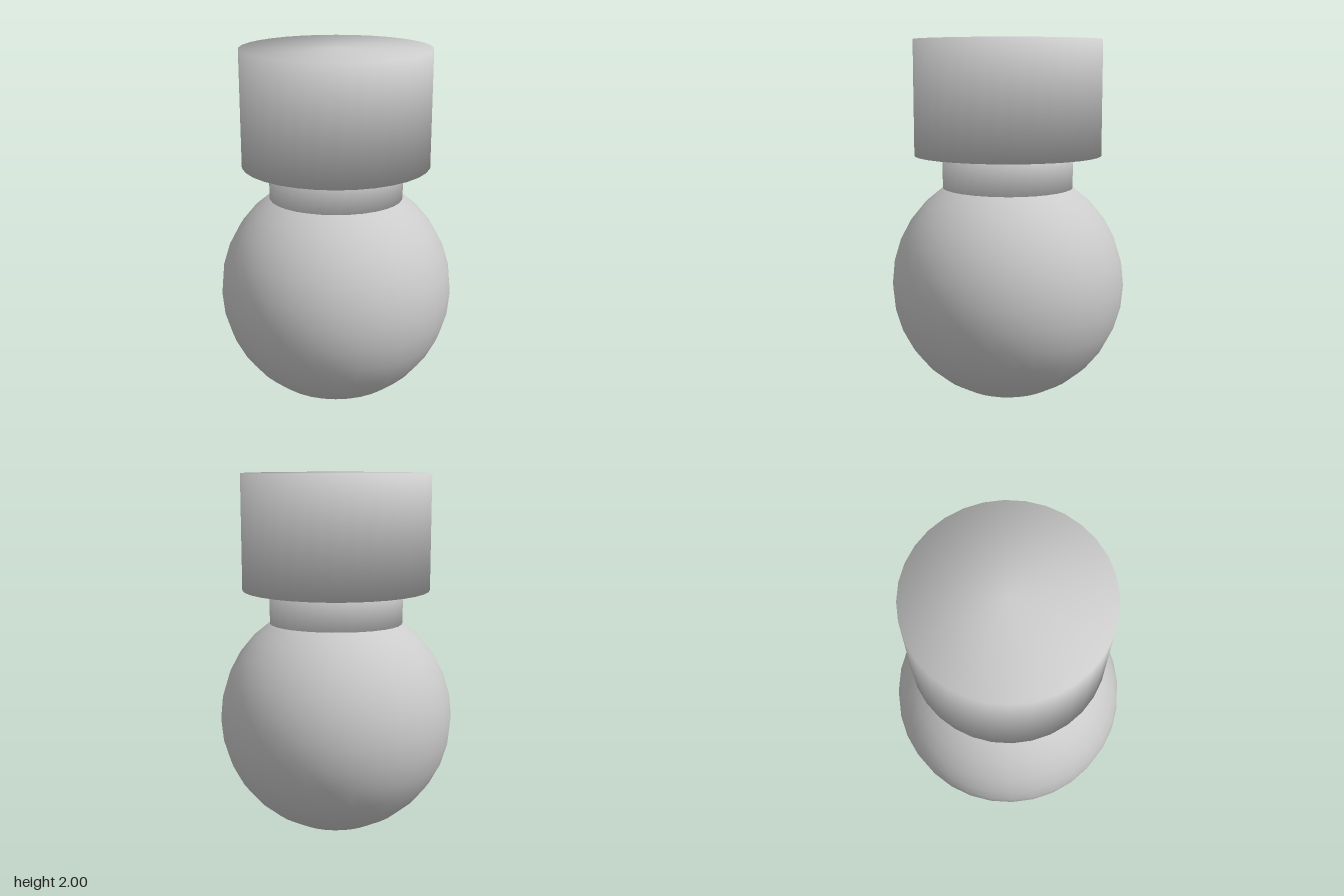
import * as THREE from 'three';

const material = new THREE.MeshStandardMaterial({ color: 0xcccccc });

// Capped cylinder between two heights, with normals blended over the rims
function softCylinder(name, radius, bottom, top) {
  const geometry = new THREE.CylinderGeometry(radius, radius, top - bottom, 32);
  const { position, normal } = geometry.attributes;
  const n = new THREE.Vector3();
  for (let i = 0; i < position.count; i++) {
    const x = position.getX(i) / radius;
    const z = position.getZ(i) / radius;
    n.set(x, Math.sign(position.getY(i)), z).normalize();
    normal.setXYZ(i, n.x, n.y, n.z);
  }
  const mesh = new THREE.Mesh(geometry, material);
  mesh.name = name;
  mesh.position.y = (bottom + top) / 2;
  return mesh;
}

export function createModel() {
  const group = new THREE.Group();
  group.name = 'ballKnob';

  // Round ball at the base
  const ball = new THREE.Mesh(new THREE.SphereGeometry(0.65, 32, 16), material);
  ball.name = 'ball';
  ball.position.y = 0.65;

  // Short neck, slightly narrower front to back
  const neck = softCylinder('neck', 0.37, 1.14, 1.39);
  neck.scale.z = 0.98;

  // Wide cylindrical head
  const head = softCylinder('head', 0.518, 1.37, 2);

  group.add(ball, neck, head);
  return group;
}
